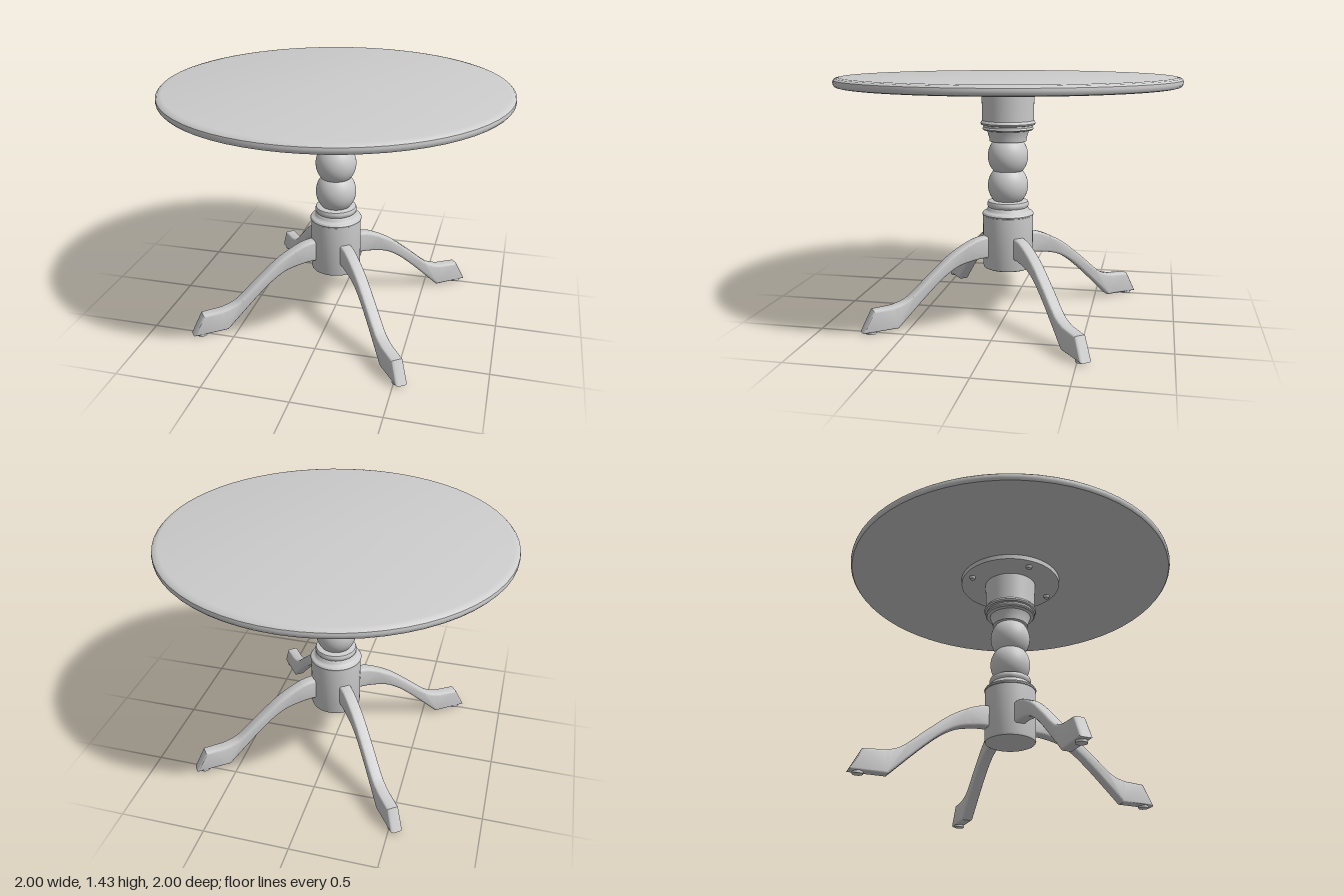
import * as THREE from 'three';
import { toCreasedNormals } from 'three/addons/utils/BufferGeometryUtils.js';

export function createModel() {
  const table = new THREE.Group();
  table.name = 'roundPedestalTable';
  const grey = new THREE.MeshStandardMaterial({ color: 0xcccccc });
  grey.name = 'plain grey';

  const add = (name, geometry, parent = table) => {
    const mesh = new THREE.Mesh(geometry, grey);
    mesh.name = name;
    parent.add(mesh);
    return mesh;
  };
  // Turned part from [radius, height] points listed bottom to top
  const turned = (name, points, segments = 48) => {
    const profile = points.map(([r, y]) => new THREE.Vector2(r, y));
    return add(name, toCreasedNormals(new THREE.LatheGeometry(profile, segments), 0.6));
  };
  // Points along a ball, cut off where its radius reaches the neck
  const ball = (y, r, neck, steps = 14) => {
    const a = Math.acos(neck / r);
    return Array.from({ length: steps + 1 }, (_, i) => {
      const t = -a + (2 * a * i) / steps;
      return [r * Math.cos(t), y + 0.094 * Math.sin(t) / Math.sin(a)];
    });
  };

  // Top with a rounded rim
  turned('tableTop', [[0, 1.38], [0.975, 1.38], [0.99, 1.384], [0.998, 1.394], [1, 1.408],
    [0.998, 1.42], [0.988, 1.43], [0.965, 1.435], [0, 1.435]], 64);

  // Mounting plate under the top
  turned('mountingPlate', [[0, 1.345], [0.295, 1.345], [0.308, 1.352], [0.31, 1.38]]);

  // Hub that carries the legs
  turned('legHub', [[0, 0.288], [0.135, 0.288], [0.146, 0.293], [0.15, 0.305], [0.15, 0.61], [0, 0.61]]);

  // Collars over the hub
  turned('lowerCollar', [[0.14, 0.608], [0.153, 0.612], [0.155, 0.62], [0.148, 0.63], [0.132, 0.636],
    [0.124, 0.645], [0.122, 0.655], [0.117, 0.66], [0.123, 0.668], [0.124, 0.682], [0.119, 0.695], [0.1, 0.7], [0, 0.7]]);

  // Two stacked balls
  turned('lowerBall', ball(0.79, 0.12, 0.082));
  turned('upperBall', ball(0.967, 0.12, 0.082));

  // Flared collar and upper column
  turned('upperCollar', [[0, 1.055], [0.108, 1.055], [0.112, 1.08], [0.12, 1.105], [0.125, 1.118], [0.145, 1.122],
    [0.152, 1.13], [0.145, 1.14], [0.145, 1.15], [0.157, 1.153], [0.162, 1.163], [0.158, 1.173], [0.152, 1.178]]);
  turned('upperColumn', [[0.152, 1.175], [0.153, 1.26], [0.157, 1.335], [0.157, 1.35]]);

  // Leg side outline: curved back, slanted toe, flat sole, curved belly
  const v = (x, y) => new THREE.Vector2(x, y);
  const outline = new THREE.Shape();
  outline.moveTo(0.1, 0.495);
  outline.lineTo(0.14, 0.495);
  outline.splineThru([v(0.23, 0.477), v(0.365, 0.407), v(0.5, 0.3), v(0.62, 0.196), v(0.675, 0.163), v(0.735, 0.146)]);
  outline.lineTo(0.855, 0.139);
  outline.lineTo(0.92, 0.012);
  outline.lineTo(0.71, 0.012);
  outline.splineThru([v(0.6, 0.12), v(0.505, 0.21), v(0.415, 0.285), v(0.326, 0.335), v(0.22, 0.358), v(0.148, 0.363)]);
  outline.lineTo(0.1, 0.363);
  const bevel = 0.014, width = 0.07;
  const legShape = new THREE.ExtrudeGeometry(outline, {
    depth: width - 2 * bevel, curveSegments: 24,
    bevelEnabled: true, bevelSize: bevel, bevelThickness: bevel, bevelOffset: -bevel, bevelSegments: 3,
  });
  legShape.translate(0, 0, -width / 2 + bevel);
  const legGeometry = toCreasedNormals(legShape, 0.6);
  const padGeometry = new THREE.CylinderGeometry(0.03, 0.03, 0.016, 20);
  const boltGeometry = new THREE.CylinderGeometry(0.02, 0.015, 0.018, 12);

  // Four legs, each with a foot pad, and four plate bolts
  for (let i = 0; i < 4; i++) {
    const turn = (i * Math.PI) / 2;
    const leg = new THREE.Group();
    leg.name = `leg${i + 1}`;
    leg.rotation.y = turn - THREE.MathUtils.degToRad(53.2);
    add('legBody', legGeometry, leg);
    add('footPad', padGeometry, leg).position.set(0.865, 0.008, 0);
    table.add(leg);

    const a = turn + THREE.MathUtils.degToRad(50);
    add('plateBolt', boltGeometry).position.set(0.26 * Math.cos(a), 1.337, 0.26 * Math.sin(a));
  }
  return table;
}
